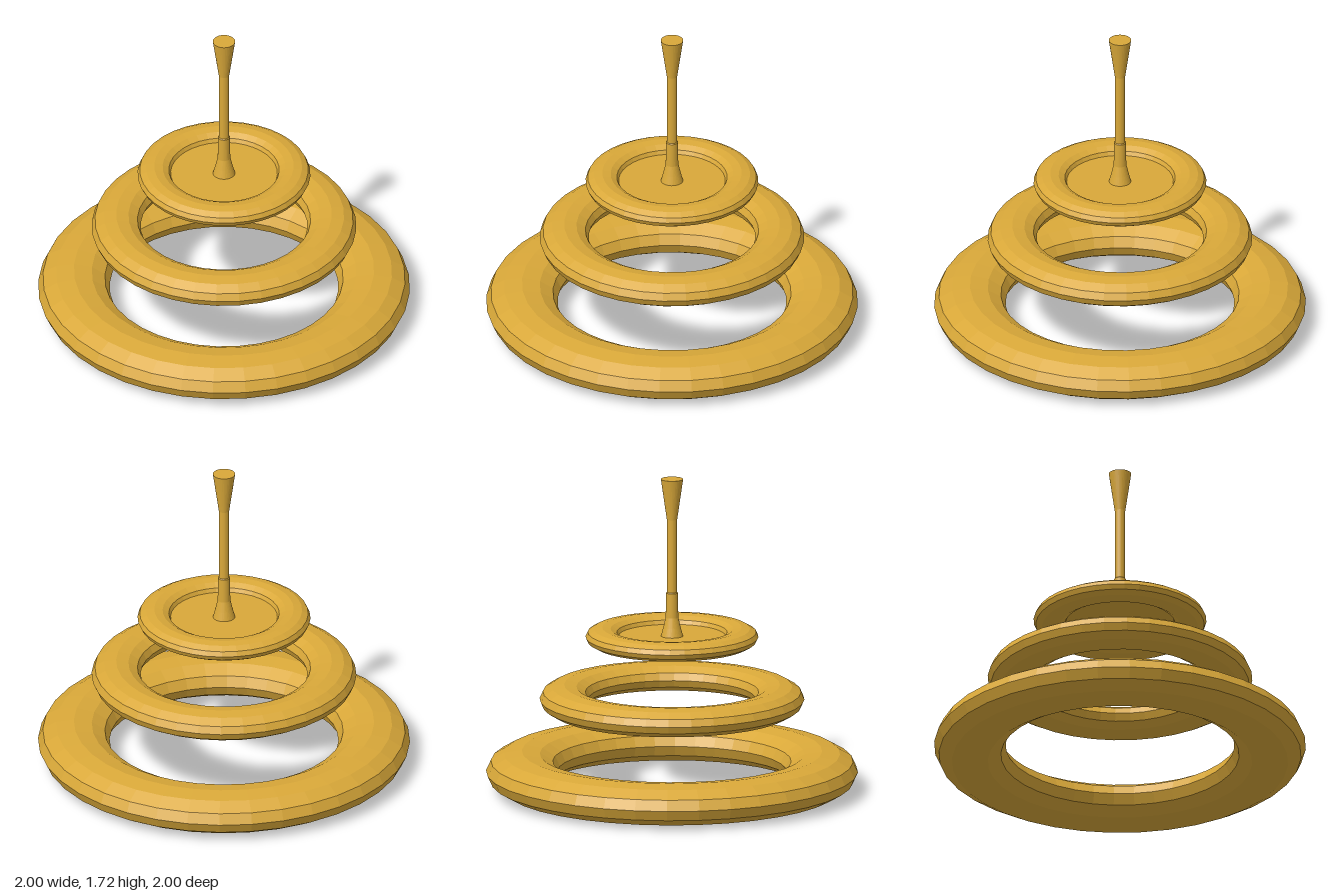
import * as THREE from 'three';

const gold = new THREE.MeshStandardMaterial({ color: 0xd9a839, flatShading: true });
const SIDES = 36;

function lathe(name, points) {
  const profile = points.map(([r, y]) => new THREE.Vector2(r, y));
  const mesh = new THREE.Mesh(new THREE.LatheGeometry(profile, SIDES), gold);
  mesh.name = name;
  return mesh;
}

// Ring with a twelve-sided oval section, wider than it is high
function ring(name, outer, inner, bottom, top) {
  const points = [];
  for (let i = 0; i <= 12; i++) {
    const a = (i / 12) * Math.PI * 2;
    points.push([
      (outer + inner) / 2 + Math.cos(a) * (outer - inner) / 2,
      (top + bottom) / 2 + Math.sin(a) * (top - bottom) / 2,
    ]);
  }
  return lathe(name, points);
}

export function createModel() {
  const model = new THREE.Group();
  model.name = 'tieredRings';

  // Three floating rings, shrinking upwards
  model.add(ring('lowerRing', 1.0, 0.615, 0, 0.225));
  model.add(ring('middleRing', 0.712, 0.448, 0.433, 0.59));
  model.add(ring('upperRing', 0.465, 0.285, 0.803, 0.905));

  // Thin plate closing the upper ring
  model.add(lathe('plate', [[0, 0.842], [0.295, 0.842], [0.295, 0.858], [0, 0.858]]));

  // Central rod with a flared foot and a flared, flat-topped tip
  model.add(lathe('rod', [
    [0, 0.85], [0.06, 0.855], [0.047, 0.905], [0.034, 0.96], [0.032, 1.095],
    [0.028, 1.1], [0.028, 1.5], [0.06, 1.722], [0, 1.722],
  ]));
  return model;
}
